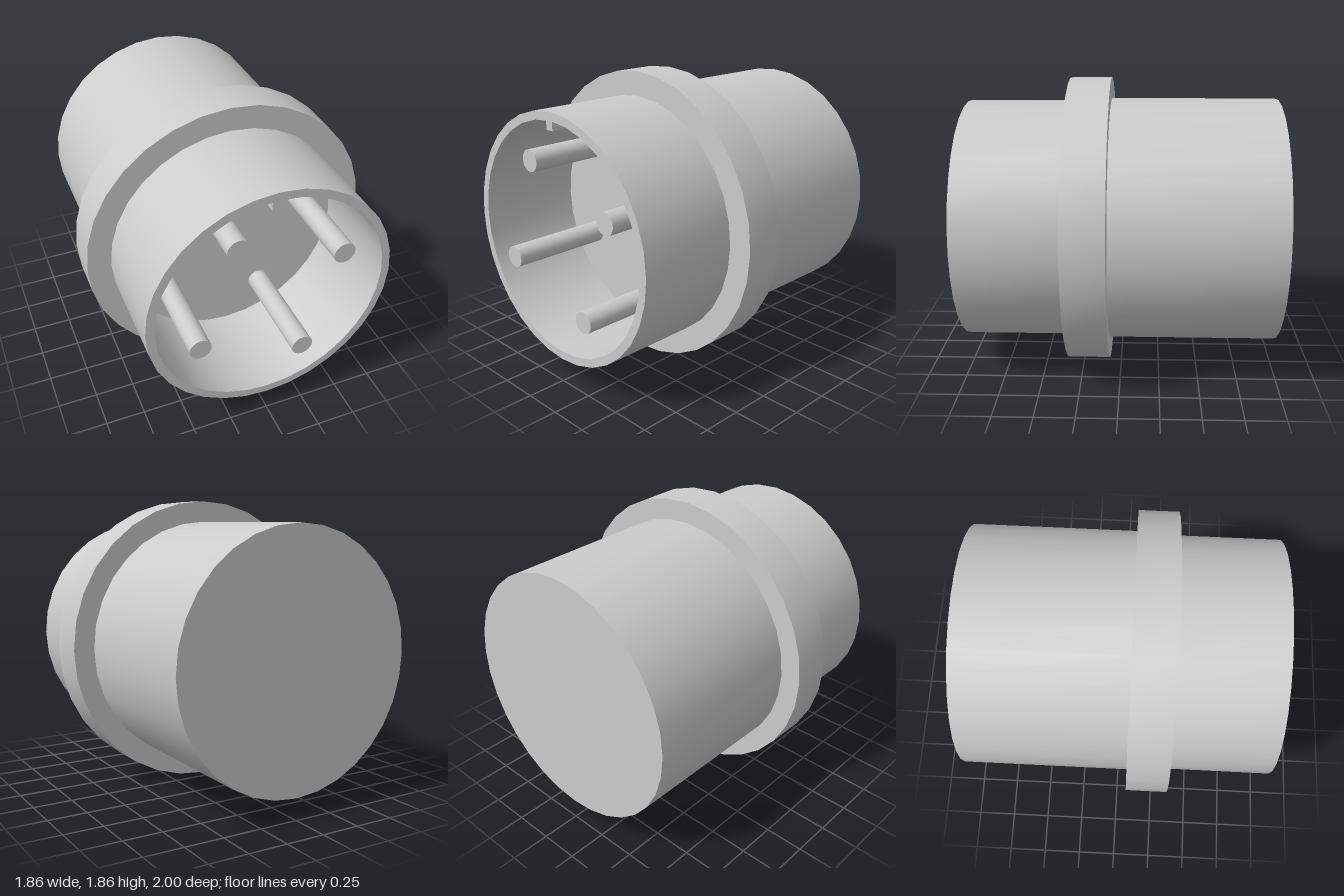
import * as THREE from 'three';
import { toCreasedNormals } from 'three/addons/utils/BufferGeometryUtils.js';

const SEGMENTS = 32;
const CENTRE_Y = 0.93;
const FLOOR_Z = 0.33;

export function createModel() {
  const model = new THREE.Group();
  model.name = 'plugConnector';
  const material = new THREE.MeshStandardMaterial({ color: 0xcccccc });

  // All parts share one axis along z at the centre height
  const assembly = new THREE.Group();
  assembly.name = 'assembly';
  assembly.position.y = CENTRE_Y;
  model.add(assembly);

  const add = (name, geometry, x = 0, y = 0, z = 0) => {
    const mesh = new THREE.Mesh(geometry, material);
    mesh.name = name;
    mesh.position.set(x, y, z);
    assembly.add(mesh);
  };

  // Profile of [radius, z] pairs turned around the z axis
  const turned = (profile) => {
    const points = profile.map(([r, z]) => new THREE.Vector2(r, z));
    const geometry = new THREE.LatheGeometry(points, SEGMENTS);
    geometry.rotateX(Math.PI / 2);
    return toCreasedNormals(geometry, 0.6);
  };

  // Closed rear barrel
  add('rearBarrel', turned([[0, -1], [0.797, -1], [0.797, 0.07]]));

  // Collar ring with stepped faces on both sides
  add('collar', turned([[0.797, 0.07], [0.932, 0.07], [0.932, 0.335], [0.78, 0.335]]));

  // Hollow front shell with its socket floor
  add('frontShell', turned([[0.78, 0.335], [0.78, 1], [0.727, 1], [0.727, FLOOR_Z], [0, FLOOR_Z]]));

  // Four contact pins, flush with the rim
  const pinLength = 1 - FLOOR_Z;
  const pinGeometry = new THREE.CylinderGeometry(0.069, 0.069, pinLength, SEGMENTS);
  pinGeometry.rotateX(Math.PI / 2);
  for (let i = 0; i < 4; i++) {
    const angle = Math.atan2(1, 2) + (i * Math.PI) / 2;
    add(`pin${i + 1}`, pinGeometry, 0.505 * Math.cos(angle), 0.505 * Math.sin(angle), FLOOR_Z + pinLength / 2);
  }

  // Alignment key along the top of the socket
  add('alignmentKey', new THREE.BoxGeometry(0.055, 0.055, pinLength), -0.011, 0.698, FLOOR_Z + pinLength / 2);

  return model;
}
